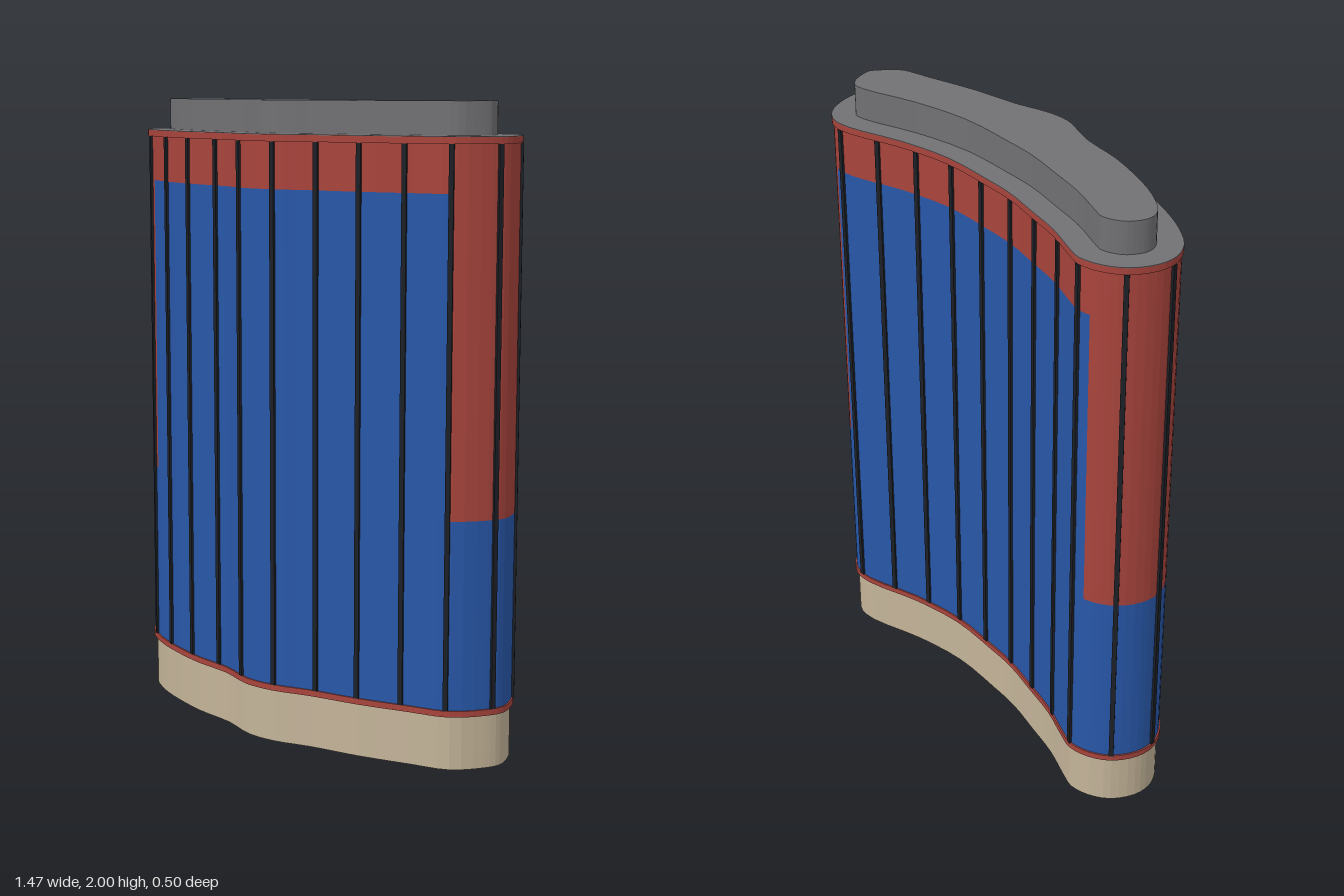
import * as THREE from 'three';

// Plan control points [x, z], starting at the back and running towards +x
const CONTROL = [
  [-0.57, -0.241], [-0.51, -0.226], [-0.40, -0.19], [-0.27, -0.165], [-0.14, -0.142], [-0.02, -0.137],
  [0.16, -0.138], [0.345, -0.178], [0.53, -0.244], [0.605, -0.248], [0.665, -0.216], [0.712, -0.15],
  [0.735, -0.075], [0.715, -0.015], [0.645, 0.073], [0.52, 0.115], [0.35, 0.166], [0.19, 0.20],
  [0.07, 0.237], [-0.04, 0.242], [-0.175, 0.20], [-0.33, 0.18], [-0.51, 0.13],
  [-0.61, 0.087], [-0.69, 0.034], [-0.731, -0.03], [-0.735, -0.10], [-0.70, -0.177], [-0.64, -0.223],
];
const SPAN = 3, FRONT_START = 18 * SPAN;
const curve = new THREE.CatmullRomCurve3(CONTROL.map(([x, z]) => new THREE.Vector3(x, 0, z)), true);
const OUTLINE = Array.from({ length: CONTROL.length * SPAN }, (_, i) => {
  const p = curve.getPoint(i / (CONTROL.length * SPAN));
  return new THREE.Vector2(p.x, p.z);
});

const BOTTOM = 0.187, TOP = 1.878, BAND = 1.735, END_LOW = 0.77;

const outward = (a, b) => new THREE.Vector2(b.y - a.y, a.x - b.x).normalize();

// Outline moved inwards by a distance, with mitred corners
function inset(d) {
  const n = OUTLINE.length;
  return OUTLINE.map((p, i) => {
    const n1 = outward(OUTLINE[(i + n - 1) % n], p), n2 = outward(p, OUTLINE[(i + 1) % n]);
    const m = n1.clone().add(n2).normalize();
    return p.clone().addScaledVector(m, -d / m.dot(n1));
  });
}

// Vertical slab with the outline as its plan
function slab(name, points, y0, y1, material) {
  const shape = new THREE.Shape(points.map(p => new THREE.Vector2(p.x, -p.y)));
  const g = new THREE.ExtrudeGeometry(shape, { depth: y1 - y0, bevelEnabled: false });
  g.rotateX(-Math.PI / 2).translate(0, y0, 0);
  const mesh = new THREE.Mesh(g, material);
  mesh.name = name;
  return mesh;
}

// Vertical wall made of quads [a, b, y0, y1]
function wall(name, quads, material) {
  const pos = [];
  for (const [a, b, y0, y1] of quads) {
    pos.push(b.x, y0, b.y, a.x, y0, a.y, a.x, y1, a.y);
    pos.push(b.x, y0, b.y, a.x, y1, a.y, b.x, y1, b.y);
  }
  const g = new THREE.BufferGeometry();
  g.setAttribute('position', new THREE.Float32BufferAttribute(pos, 3));
  g.computeVertexNormals();
  const mesh = new THREE.Mesh(g, material);
  mesh.name = name;
  return mesh;
}

export function createModel() {
  const mat = (name, color) => {
    const m = new THREE.MeshStandardMaterial({ color });
    m.name = name;
    return m;
  };
  const stone = mat('stone', 0xc4b499), red = mat('red cladding', 0xa8443c);
  const blue = mat('blue glass', 0x2857a8), grey = mat('roof grey', 0x717174);
  const dark = mat('dark metal', 0x1c2026);

  const group = new THREE.Group();
  group.name = 'tower';

  // Plinth, trims and roof
  group.add(slab('plinth', inset(0.01), 0, 0.168, stone));
  group.add(slab('lowerTrim', OUTLINE, 0.168, BOTTOM, red));
  group.add(slab('roofTrim', OUTLINE, TOP, 1.898, red));
  group.add(slab('roof', OUTLINE, 1.898, 1.9, grey));
  group.add(slab('penthouse', inset(0.075), 1.9, 2, grey));

  // Facade, split where the red end panels begin
  const body = inset(0.005), blueQuads = [], redQuads = [];
  body.forEach((a, i) => {
    const b = body[(i + 1) % body.length], run = [a];
    const right = a.y > -0.08 ? 0.627 : 0.608, left = -0.609;
    for (const cut of [left, right]) {
      if ((a.x - cut) * (b.x - cut) < 0) run.push(a.clone().lerp(b, (cut - a.x) / (b.x - a.x)));
    }
    run.push(b);
    for (let k = 0; k + 1 < run.length; k++) {
      const p = run[k], q = run[k + 1], x = (p.x + q.x) / 2;
      const split = x < left || x > right ? END_LOW : BAND;
      blueQuads.push([p, q, BOTTOM, split]);
      redQuads.push([p, q, split, TOP]);
    }
  });
  group.add(wall('glassFacade', blueQuads, blue), wall('redFacade', redQuads, red));

  // Mullions at equal steps around the facade, the first at x = 0.07 on the front
  const mullions = new THREE.Group();
  mullions.name = 'mullions';
  const count = 23, n = body.length;
  const ring = Array.from({ length: n }, (_, i) => body[(FRONT_START + i) % n]);
  const lengths = ring.map((p, i) => p.distanceTo(ring[(i + 1) % n]));
  const step = lengths.reduce((s, l) => s + l, 0) / count;
  const bar = new THREE.BoxGeometry(0.015, TOP - BOTTOM, 0.015);
  for (let k = 0; k < count; k++) {
    let s = k * step, i = 0;
    while (s > lengths[i]) s -= lengths[i++];
    const a = ring[i], b = ring[(i + 1) % n], o = outward(a, b);
    const p = a.clone().lerp(b, s / lengths[i]);
    const mesh = new THREE.Mesh(bar, dark);
    mesh.name = 'mullion';
    mesh.position.set(p.x, (TOP + BOTTOM) / 2, p.y);
    mesh.rotation.y = Math.atan2(o.x, o.y);
    mullions.add(mesh);
  }
  group.add(mullions);
  return group;
}
